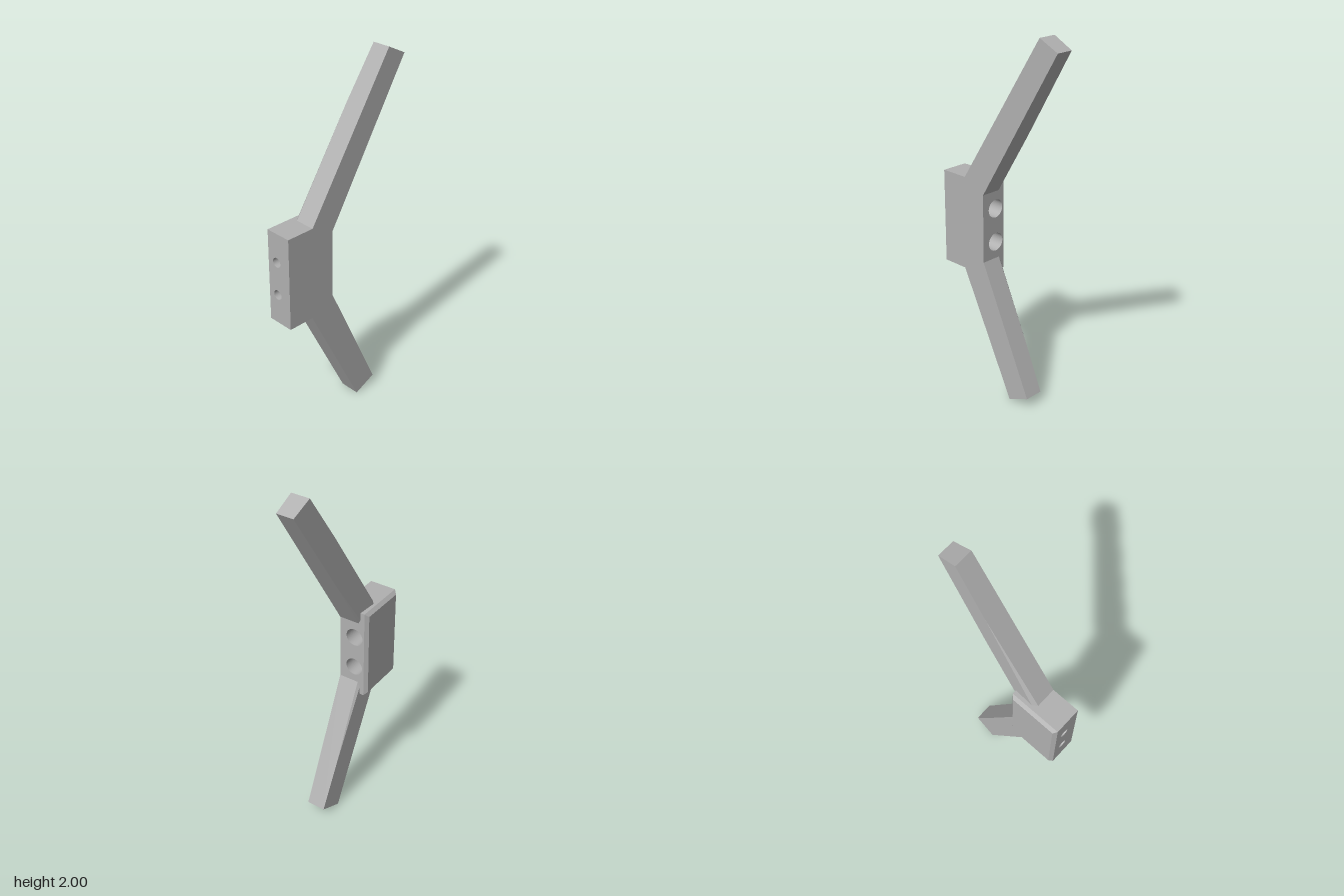
import * as THREE from 'three';
import { ConvexGeometry } from 'three/addons/geometries/ConvexGeometry.js';

const FRONT = 0.083, EDGE = -0.03, SLOPE = 0.063;
const backZ = (x) => -0.012 - SLOPE * (0.392 - x); // tapered back plane of the arms
const BLOCK = { x0: -0.395, x1: -0.1, y0: 0.682, y1: 1.205, back: -0.067, end: -0.085, bevel: 0.018 };
const V2 = (x, y) => new THREE.Vector2(x, y);

// Slab of the block along x, pierced by two bolt holes
function boredSlab(x0, x1, radius) {
  const { y0, y1, back } = BLOCK;
  const shape = new THREE.Shape([V2(-FRONT, y0), V2(-back, y0), V2(-back, y1), V2(-FRONT, y1)]);
  for (const y of [0.85, 1.04]) {
    shape.holes.push(new THREE.Path().absarc(0.007, y, radius, 0, Math.PI * 2, true));
  }
  const geo = new THREE.ExtrudeGeometry(shape, { depth: x1 - x0, bevelEnabled: false, curveSegments: 32 });
  return geo.rotateY(Math.PI / 2).translate(x0, 0, 0);
}

// Bevelled plate behind the block
function bevelledBack() {
  const { x0, x1, y0, y1, back, end, bevel } = BLOCK;
  const points = [];
  for (const [z, d] of [[back, 0], [end, bevel]]) {
    for (const x of [x0 + d, x1 - d]) {
      for (const y of [y0 + d, y1 - d]) points.push(new THREE.Vector3(x, y, z));
    }
  }
  return new ConvexGeometry(points);
}

// Tapered arm between two long edges, with back bevels that fade out
function armGeometry(outer, inner) {
  const points = [];
  for (const [[a, b], other] of [[outer, inner[0]], [inner, outer[0]]]) {
    const dir = b.clone().sub(a).normalize();
    const n = V2(-dir.y, dir.x);
    if (n.dot(other.clone().sub(a)) < 0) n.negate(); // points into the arm
    const fadeX = 0.392 - (-0.012 - EDGE) / SLOPE;
    const fade = Math.min(1, (fadeX - a.x) / (b.x - a.x));
    for (const t of new Set([0, fade, 1])) {
      const p = a.clone().lerp(b, t);
      const d = Math.max(0, (EDGE - backZ(p.x)) / (1 + SLOPE * n.x));
      if (t !== fade || t === 1) points.push(new THREE.Vector3(p.x, p.y, FRONT));
      points.push(new THREE.Vector3(p.x, p.y, Math.max(EDGE, backZ(p.x))));
      if (d > 1e-4) {
        const r = p.addScaledVector(n, d);
        points.push(new THREE.Vector3(r.x, r.y, backZ(r.x)));
      }
    }
  }
  return new ConvexGeometry(points);
}

export function createModel() {
  const group = new THREE.Group();
  const grey = new THREE.MeshStandardMaterial({ color: 0xb0b0b0 });
  grey.name = 'grey';
  const add = (name, geo) => {
    const mesh = new THREE.Mesh(geo, grey);
    mesh.name = name;
    group.add(mesh);
  };

  // Mounting block: narrow bolt holes on one side, wide counterbores on the other
  add('blockBoltSide', boredSlab(BLOCK.x0, -0.25, 0.027));
  add('blockCounterboreSide', boredSlab(-0.25, BLOCK.x1, 0.05));
  add('blockBack', bevelledBack());

  // Arms
  add('upperArm', armGeometry([V2(-0.235, 1.205), V2(0.28, 2)], [V2(-0.1, 1.137), V2(0.392, 1.945)]));
  add('lowerArm', armGeometry([V2(-0.245, 0.682), V2(0.092, 0)], [V2(-0.1, 0.757), V2(0.222, 0.057)]));
  return group;
}
